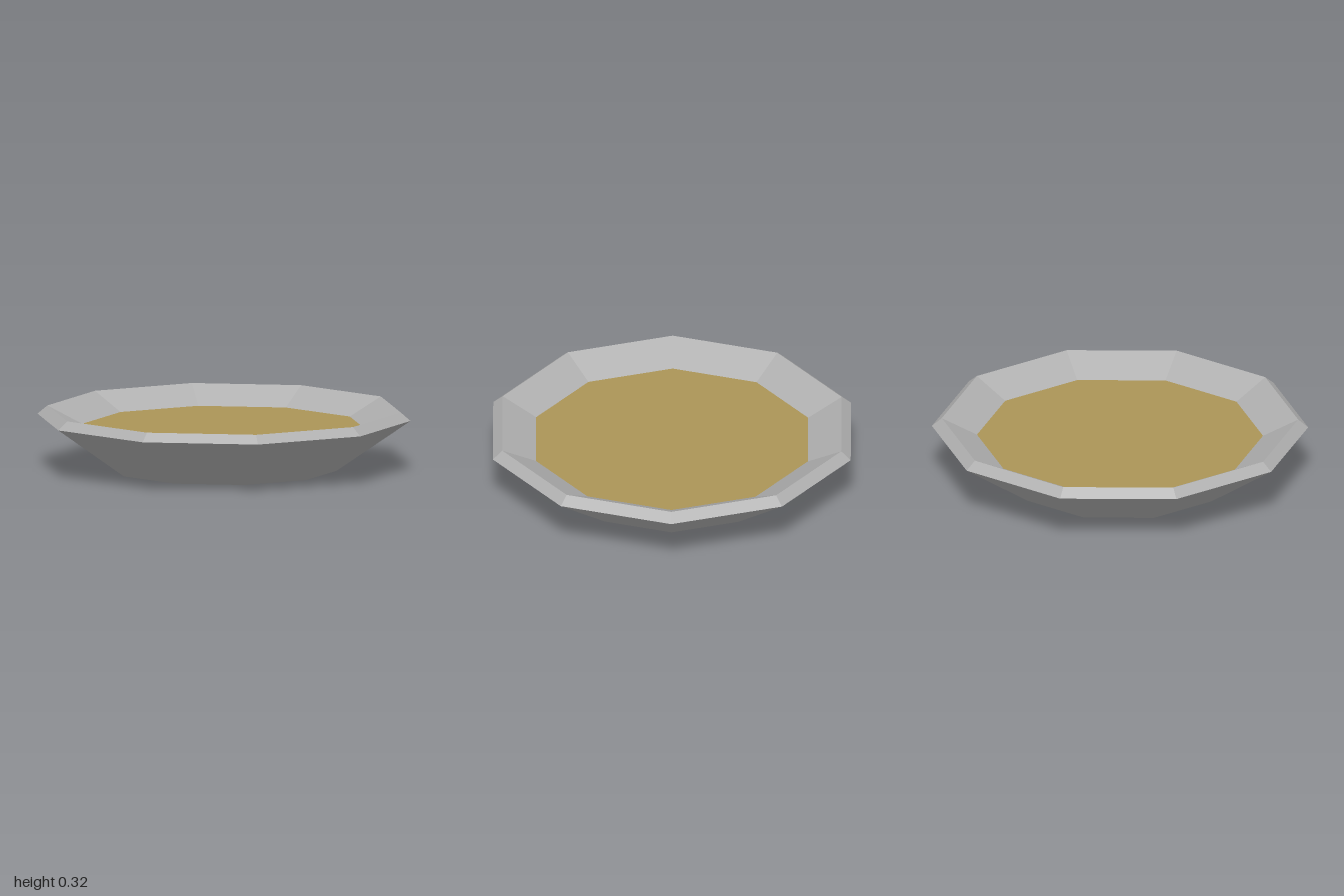
import * as THREE from 'three';

const SIDES = 10;

// Faceted ten-sided ring surface from a [radius, height] profile, corners on the x axis
function faceted(profile) {
  const points = profile.map(([r, y]) => new THREE.Vector2(r, y));
  const geometry = new THREE.LatheGeometry(points, SIDES, Math.PI / 2).toNonIndexed();
  geometry.computeVertexNormals();
  return geometry;
}

export function createModel() {
  const stone = new THREE.MeshStandardMaterial({ color: 0xb0b0b0 });
  stone.name = 'grey dish';
  const filling = new THREE.MeshStandardMaterial({ color: 0xab9557 });
  filling.name = 'tan filling';

  const model = new THREE.Group();
  model.name = 'dish';

  // Dish: underside, flared wall, bevelled rim and inner slope
  const bowl = new THREE.Mesh(
    faceted([[0, 0], [0.605, 0], [1, 0.275], [0.947, 0.32], [0.76, 0.225]]),
    stone
  );
  bowl.name = 'bowl';

  // Flat filling that closes the inside of the dish
  const surface = new THREE.Mesh(new THREE.CircleGeometry(0.76, SIDES), filling);
  surface.name = 'filling';
  surface.rotation.x = -Math.PI / 2;
  surface.position.y = 0.225;

  model.add(bowl, surface);
  return model;
}
